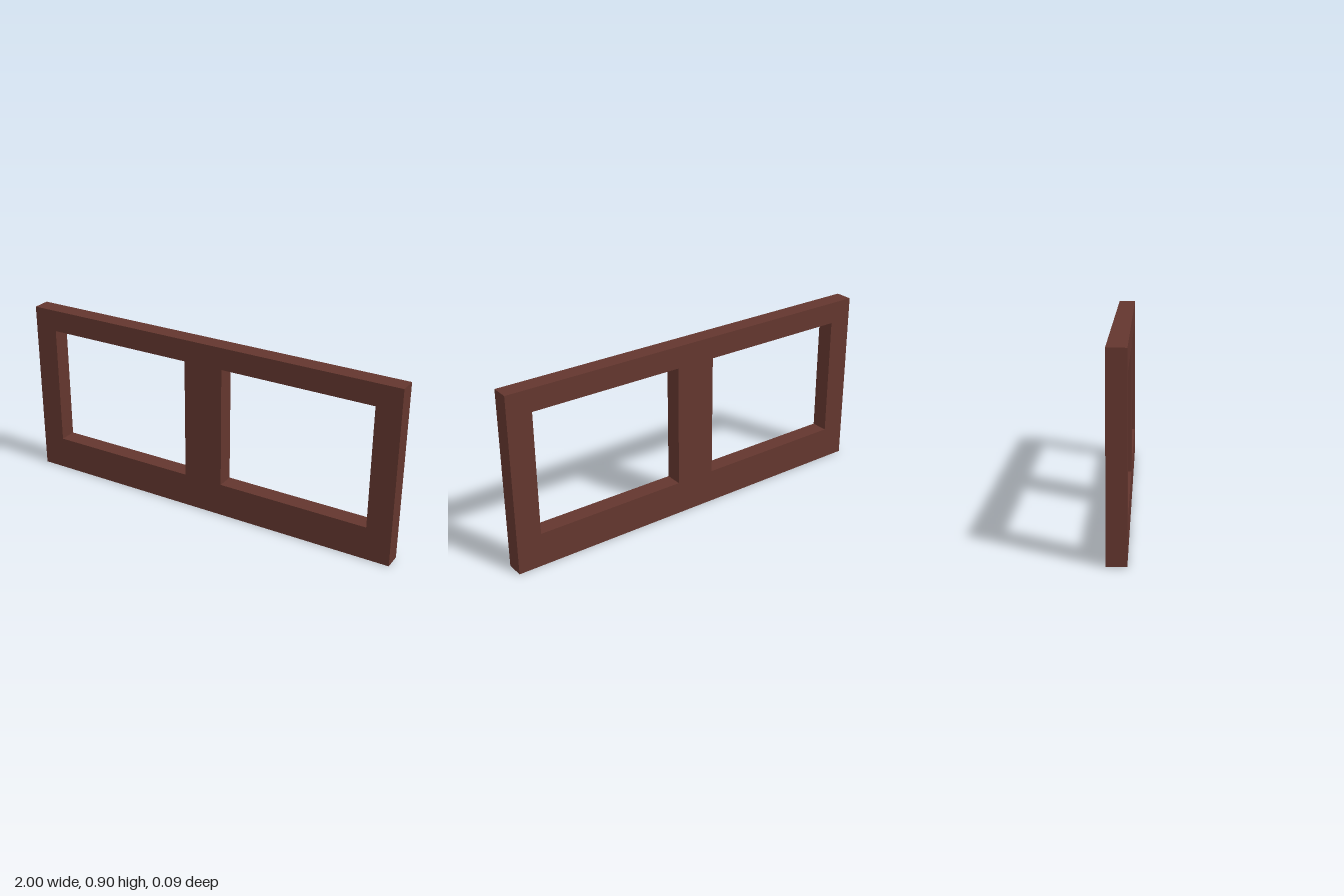
import * as THREE from 'three';

const WIDTH = 2, HEIGHT = 0.896, DEPTH = 0.088;

// Rectangular outline, traced counter-clockwise
function rectangle(path, x0, y0, x1, y1) {
  path.moveTo(x0, y0);
  path.lineTo(x1, y0);
  path.lineTo(x1, y1);
  path.lineTo(x0, y1);
  path.closePath();
  return path;
}

export function createModel() {
  const group = new THREE.Group();
  group.name = 'doubleWindowFrame';

  const wood = new THREE.MeshStandardMaterial({ color: 0x63362e });
  wood.name = 'dark reddish brown wood';

  // Outer board with a tall bottom rail and two rectangular openings
  const outline = rectangle(new THREE.Shape(), -WIDTH / 2, 0, WIDTH / 2, HEIGHT);
  for (const [x0, x1] of [[-0.88, -0.104], [0.1, 0.876]]) {
    outline.holes.push(rectangle(new THREE.Path(), x0, 0.17, x1, 0.786));
  }

  const geometry = new THREE.ExtrudeGeometry(outline, { depth: DEPTH, bevelEnabled: false });
  geometry.translate(0, 0, -DEPTH / 2);

  const frame = new THREE.Mesh(geometry, wood);
  frame.name = 'frame';
  group.add(frame);
  return group;
}
